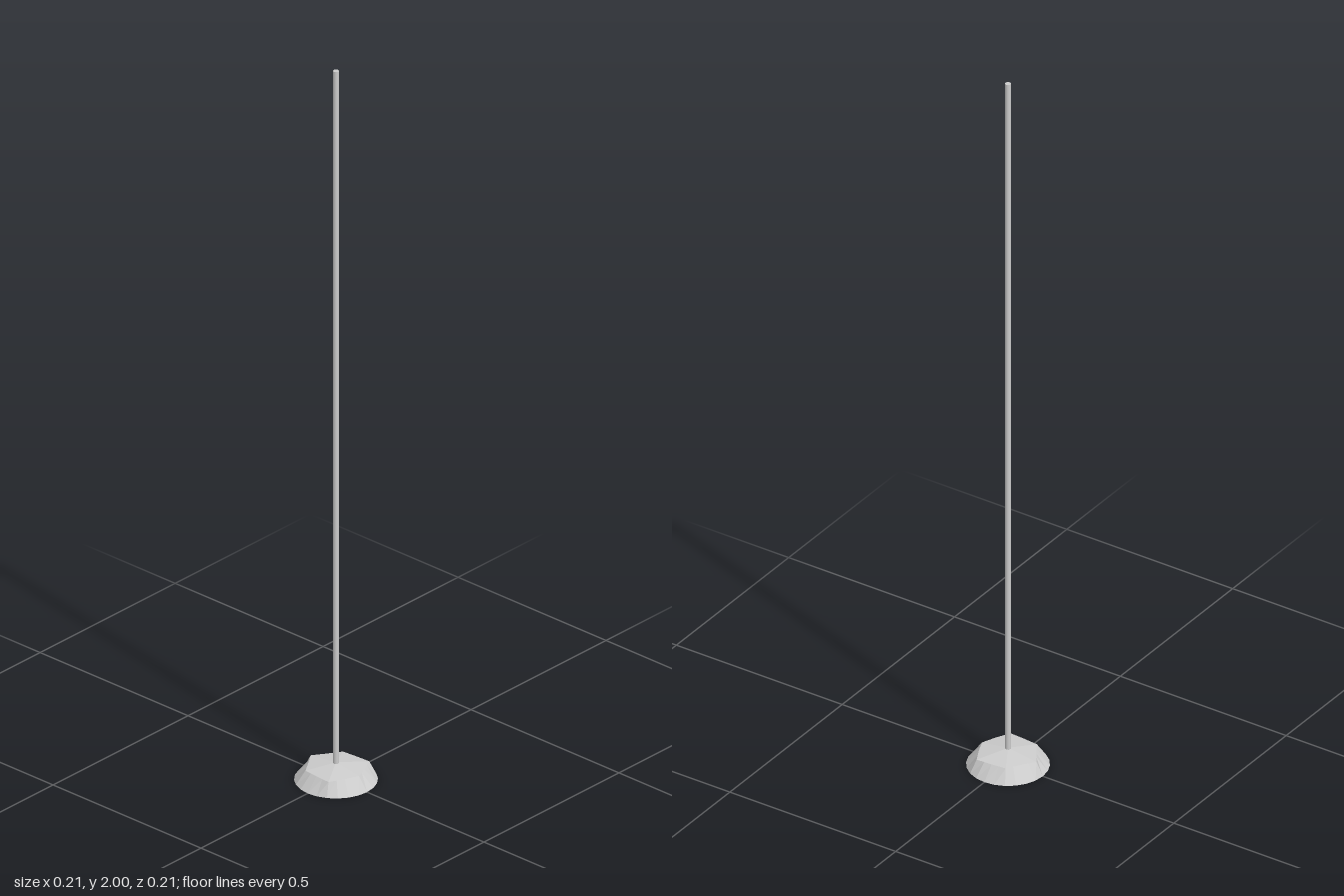
import * as THREE from 'three';

// Shallow faceted dome, open underneath: round rim, six-sided shoulder, low apex
function domeGeometry() {
  const n = 24;
  // shoulder radius every 30 degrees, starting at the back
  const radii = [0.086, 0.071, 0.08, 0.073, 0.087, 0.073, 0.078, 0.073, 0.087, 0.073, 0.08, 0.071];
  const polar = (r, a, y) => new THREE.Vector3(Math.sin(a) * r, y, -Math.cos(a) * r);
  const corner = (k) => polar(radii[k % 12], (k % 12) * Math.PI / 6, 0.036);
  const rim = [], shoulder = [];
  for (let i = 0; i < n; i++) {
    rim.push(polar(0.105, i / n * Math.PI * 2, 0));
    const k = Math.floor(i / 2);
    shoulder.push(corner(k).lerp(corner(k + 1), (i % 2) / 2));
  }
  const apex = new THREE.Vector3(0, 0.047, 0);
  const points = [];
  for (let i = 0; i < n; i++) {
    const j = (i + 1) % n;
    points.push(rim[i], shoulder[i], rim[j]);
    points.push(rim[j], shoulder[i], shoulder[j]);
    points.push(shoulder[i], apex, shoulder[j]);
  }
  const geometry = new THREE.BufferGeometry().setFromPoints(points);
  geometry.computeVertexNormals();
  return geometry;
}

export function createModel() {
  const group = new THREE.Group();
  group.name = 'poleStand';

  // Base
  const base = new THREE.Mesh(domeGeometry(), new THREE.MeshStandardMaterial({
    color: 0xcccccc, flatShading: true, side: THREE.DoubleSide,
  }));
  base.name = 'base';
  group.add(base);

  // Pole, ending just under the dome
  const bottom = 0.023, top = 2;
  const pole = new THREE.Mesh(
    new THREE.CylinderGeometry(0.0075, 0.0075, top - bottom, 16),
    new THREE.MeshStandardMaterial({ color: 0xcccccc }),
  );
  pole.name = 'pole';
  pole.position.y = (top + bottom) / 2;
  group.add(pole);

  return group;
}
